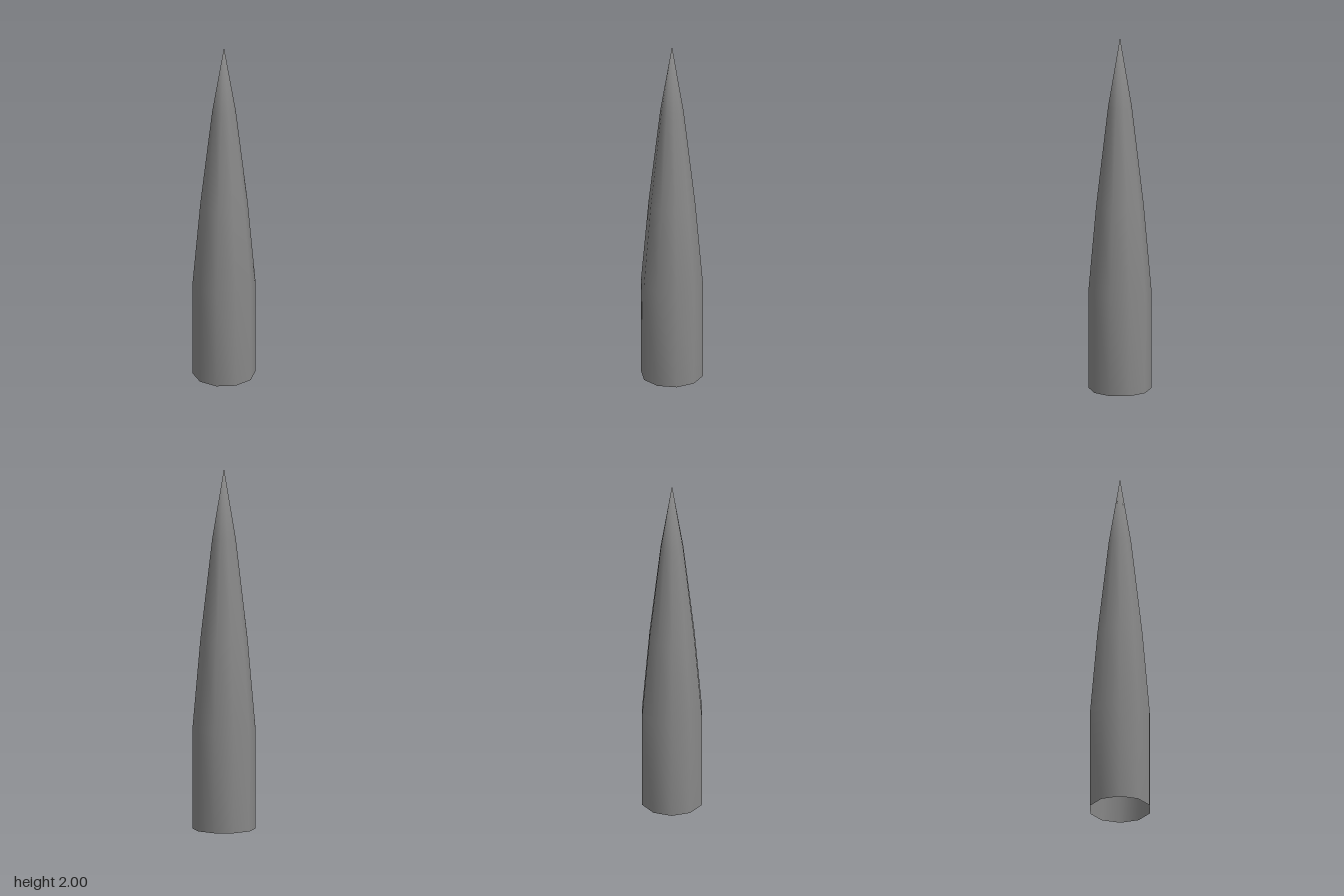
import * as THREE from 'three';
import { mergeVertices } from 'three/addons/utils/BufferGeometryUtils.js';

export function createModel() {
  const group = new THREE.Group();
  group.name = 'pointedSpike';

  // Profile from the open base to the tip: [radius, height]
  const profile = [[0.172, 0], [0.172, 0.57], [0.13, 1.05], [0.065, 1.61], [0, 2]]
    .map(([r, y]) => new THREE.Vector2(r, y));

  // Ten-sided shell, corners on the x axis, smooth all over including the tip
  let shell = new THREE.LatheGeometry(profile, 10, Math.PI / 2);
  shell.deleteAttribute('uv');
  shell.deleteAttribute('normal');
  shell = mergeVertices(shell);
  shell.computeVertexNormals();

  // Dark grey, seen from inside and outside
  const material = new THREE.MeshStandardMaterial({ color: 0x888888, side: THREE.DoubleSide });
  const spike = new THREE.Mesh(shell, material);
  spike.name = 'spikeShell';
  group.add(spike);
  return group;
}
